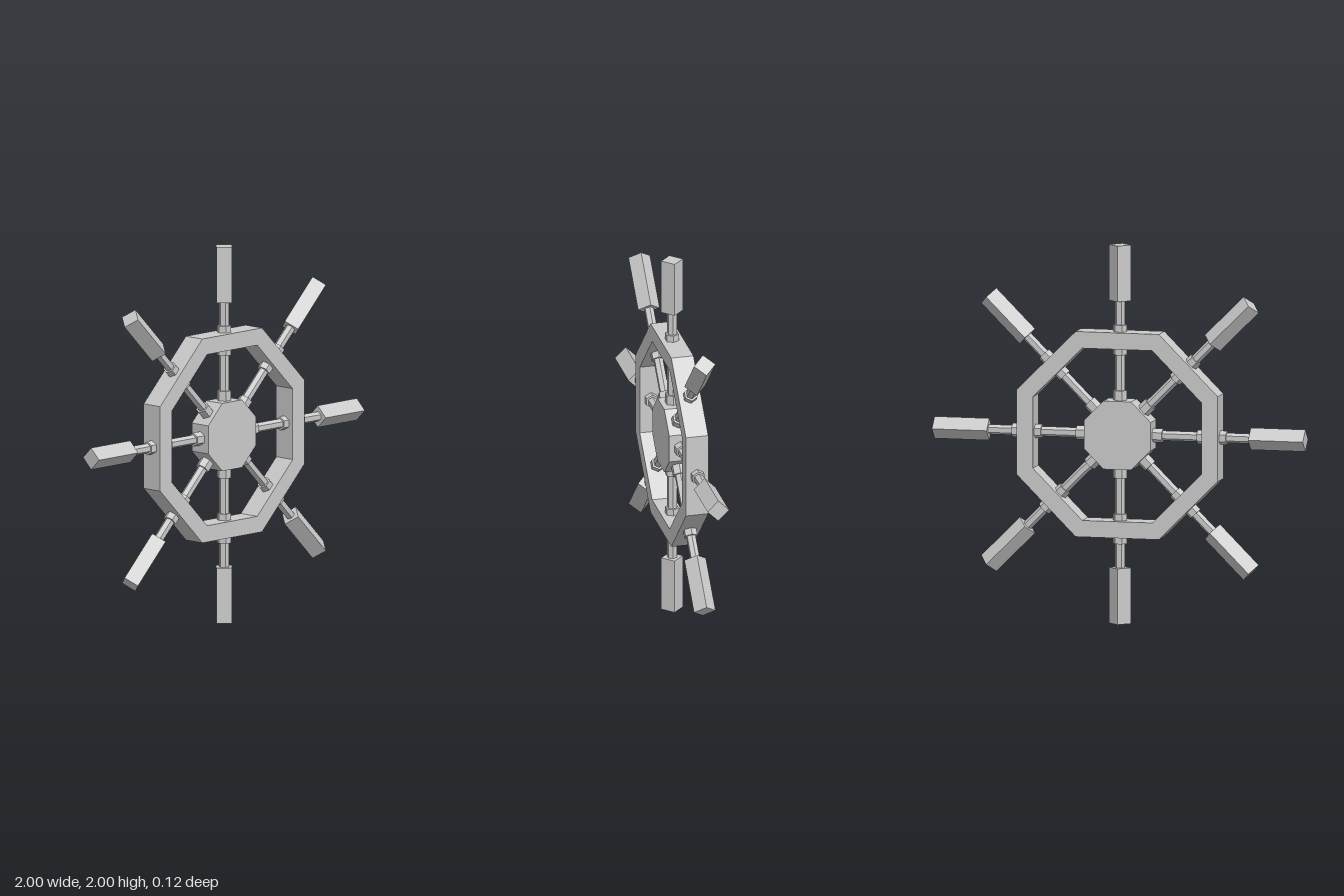
import * as THREE from 'three';

const material = new THREE.MeshStandardMaterial({ color: 0xcccccc, flatShading: true });
const CENTER_Y = 1, DEPTH = 0.12, SPOKES = 8;

// Octagon points with flat sides facing up, down, left and right
function octagon(apothem) {
  const r = apothem / Math.cos(Math.PI / 8);
  return Array.from({ length: 8 }, (_, i) => {
    const a = Math.PI / 8 + i * Math.PI / 4;
    return new THREE.Vector2(r * Math.cos(a), r * Math.sin(a));
  });
}

// Octagonal slab centred on z = 0, optionally with an octagonal opening
function slab(name, outer, inner) {
  const shape = new THREE.Shape(octagon(outer));
  if (inner) shape.holes.push(new THREE.Path(octagon(inner).reverse()));
  const geometry = new THREE.ExtrudeGeometry(shape, { depth: DEPTH, bevelEnabled: false });
  geometry.translate(0, 0, -DEPTH / 2);
  const mesh = new THREE.Mesh(geometry, material);
  mesh.name = name;
  return mesh;
}

// Prism running outwards along +y between two distances from the hub centre
function prism(name, radius, sides, from, to) {
  const geometry = new THREE.CylinderGeometry(radius, radius, to - from, sides);
  geometry.rotateY(Math.PI / 2);
  geometry.translate(0, (from + to) / 2, 0);
  const mesh = new THREE.Mesh(geometry, material);
  mesh.name = name;
  return mesh;
}

export function createModel() {
  const model = new THREE.Group();
  model.name = 'shipWheel';

  const wheel = new THREE.Group();
  wheel.name = 'wheel';
  wheel.position.y = CENTER_Y;
  model.add(wheel);

  wheel.add(slab('rim', 0.542, 0.455), slab('hub', 0.18));

  // Spokes with collars and diamond-section handles
  for (let i = 0; i < SPOKES; i++) {
    const arm = new THREE.Group();
    arm.name = 'spokeArm';
    arm.add(
      prism('spoke', 0.026, 6, 0.17, 0.71),
      prism('hubCollar', 0.037, 6, 0.17, 0.232),
      prism('rimCollar', 0.037, 6, 0.42, 0.578),
      prism('handle', 0.058, 4, 0.705, 1)
    );
    arm.rotation.z = i * Math.PI * 2 / SPOKES;
    wheel.add(arm);
  }
  return model;
}
